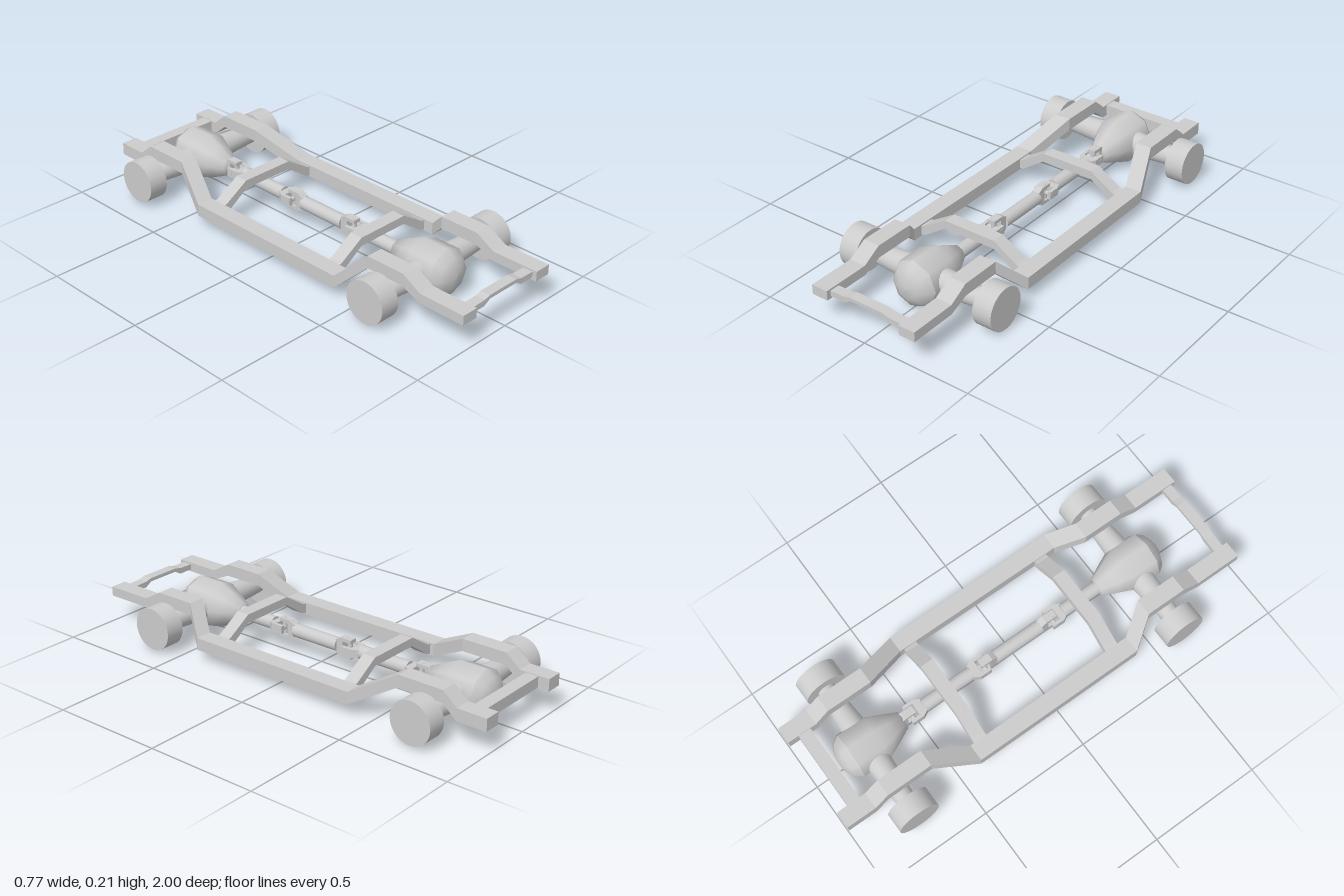
import * as THREE from 'three';

const mat = new THREE.MeshStandardMaterial({ color: 0xcccccc, side: THREE.DoubleSide });
const AXLE_Y = 0.108;

function add(parent, geometry, name) {
  const mesh = new THREE.Mesh(geometry, mat);
  mesh.name = name;
  parent.add(mesh);
  return mesh;
}

// Skin a row of four-cornered rings into a sharp-edged closed beam
function loft(rings) {
  const pos = [];
  const quad = (a, b, c, d) => pos.push(...a, ...b, ...c, ...a, ...c, ...d);
  for (let i = 0; i < rings.length - 1; i++) {
    for (let k = 0; k < 4; k++) {
      const n = (k + 1) % 4;
      quad(rings[i][k], rings[i][n], rings[i + 1][n], rings[i + 1][k]);
    }
  }
  quad(...[...rings[0]].reverse());
  quad(...rings[rings.length - 1]);
  const g = new THREE.BufferGeometry();
  g.setAttribute('position', new THREE.Float32BufferAttribute(pos, 3));
  g.computeVertexNormals();
  return g;
}

// Side rail stations: z, centre x, bottom y, top y
const RAIL = [
  [-1, 0.217, 0.105, 0.16], [-0.865, 0.217, 0.105, 0.16],
  [-0.8, 0.217, 0.16, 0.215], [-0.59, 0.217, 0.16, 0.215],
  [-0.4, 0.292, 0.055, 0.11], [0.405, 0.292, 0.055, 0.11],
  [0.515, 0.217, 0.16, 0.215], [0.7, 0.217, 0.16, 0.215],
  [0.785, 0.217, 0.123, 0.166], [1, 0.217, 0.123, 0.166],
];

function rail(side) {
  const h = 0.038;
  return loft(RAIL.map(([z, x, y0, y1]) => {
    const c = x * side;
    return [[c - h, y0, z], [c + h, y0, z], [c + h, y1, z], [c - h, y1, z]];
  }));
}

// Crossmember from a half profile (x, bottom y, top y), mirrored about x = 0
function crossmember(half, z0, z1) {
  const all = [...half.map(([x, a, b]) => [-x, a, b]), ...[...half].reverse()];
  return loft(all.map(([x, y0, y1]) => [[x, y0, z1], [x, y0, z0], [x, y1, z0], [x, y1, z1]]));
}

function lathe(points, segments) {
  const g = new THREE.LatheGeometry(points.map(([r, y]) => new THREE.Vector2(r, y)), segments);
  return g.rotateX(Math.PI / 2); // spin axis along z
}

// Axle with differential, tubes and hub drums; cover faces +z
function axle() {
  const g = new THREE.Group();
  add(g, lathe([[0, -0.18], [0.042, -0.18], [0.075, -0.115], [0.107, -0.045], [0.107, 0.08]], 8), 'differentialHousing');
  add(g, lathe([[0.107, 0.08], [0.082, 0.113], [0.045, 0.132], [0, 0.136]], 8), 'differentialCover');
  for (const s of [-1, 1]) {
    const tube = add(g, new THREE.CylinderGeometry(0.04, 0.058, 0.25, 24), 'axleTube');
    tube.rotation.z = -s * Math.PI / 2;
    tube.position.x = s * 0.175;
    const drum = add(g, new THREE.CylinderGeometry(0.094, 0.094, 0.088, 40), 'hubDrum');
    drum.rotation.z = Math.PI / 2;
    drum.position.set(s * 0.339, -0.003, 0);
  }
  return g;
}

// U-shaped fork opening towards +z
function forkGeometry() {
  const s = new THREE.Shape([
    [-0.028, -0.064], [0.028, -0.064], [0.043, -0.038], [0.043, 0.016], [0.028, 0.016],
    [0.028, -0.026], [-0.028, -0.026], [-0.028, 0.016], [-0.043, 0.016], [-0.043, -0.038],
  ].map(([x, y]) => new THREE.Vector2(x, y)));
  const g = new THREE.ExtrudeGeometry(s, { depth: 0.036, bevelEnabled: false });
  return g.translate(0, 0, -0.018).rotateX(Math.PI / 2);
}

// Two crossed forks joined by a pin cross
function universalJoint() {
  const g = new THREE.Group();
  const fork = forkGeometry();
  add(g, fork, 'yokeFork');
  const other = add(g, fork, 'yokeFork');
  other.rotation.set(0, Math.PI, Math.PI / 2);
  const pin = new THREE.CylinderGeometry(0.011, 0.011, 0.088, 12);
  add(g, pin, 'crossPin');
  add(g, pin, 'crossPin').rotation.z = Math.PI / 2;
  return g;
}

export function createModel() {
  const model = new THREE.Group();
  model.name = 'vehicleChassis';

  // Ladder frame
  const frame = new THREE.Group();
  frame.name = 'frame';
  model.add(frame);
  add(frame, rail(1), 'leftRail');
  add(frame, rail(-1), 'rightRail');
  const arch = [[0.257, 0.06, 0.103], [0.235, 0.065, 0.11], [0.125, 0.14, 0.178]];
  add(frame, crossmember(arch, 0.3, 0.36), 'frontArchCrossmember');
  add(frame, crossmember(arch, -0.38, -0.32), 'rearArchCrossmember');
  add(frame, crossmember([[0.182, 0.133, 0.158], [0.11, 0.133, 0.16], [0.078, 0.152, 0.168]], 0.935, 0.98), 'frontCrossmember');
  add(frame, crossmember([[0.182, 0.108, 0.157]], -0.95, -0.893), 'rearCrossmember');

  // Axles
  const front = axle();
  front.name = 'frontAxle';
  front.position.set(0, AXLE_Y + 0.002, 0.62);
  const rear = axle();
  rear.name = 'rearAxle';
  rear.position.set(0, AXLE_Y + 0.002, -0.743);
  rear.rotation.y = Math.PI;
  model.add(front, rear);

  // Drive shaft sections between the joints
  const drive = new THREE.Group();
  drive.name = 'driveShaft';
  drive.position.y = AXLE_Y + 0.002;
  model.add(drive);
  for (const [z0, z1] of [[0.255, 0.45], [-0.095, 0.14], [-0.46, -0.215], [-0.6, -0.575]]) {
    const shaft = add(drive, new THREE.CylinderGeometry(0.03, 0.03, z1 - z0, 20), 'shaftSection');
    shaft.rotation.x = Math.PI / 2;
    shaft.position.z = (z0 + z1) / 2;
  }

  // Universal joints: z and whether the wide fork is on the front side
  for (const [z, flip] of [[0.2, true], [-0.155, false], [-0.52, true]]) {
    const joint = universalJoint();
    joint.name = 'universalJoint';
    joint.position.z = z;
    if (flip) joint.rotation.y = Math.PI;
    drive.add(joint);
  }
  return model;
}
